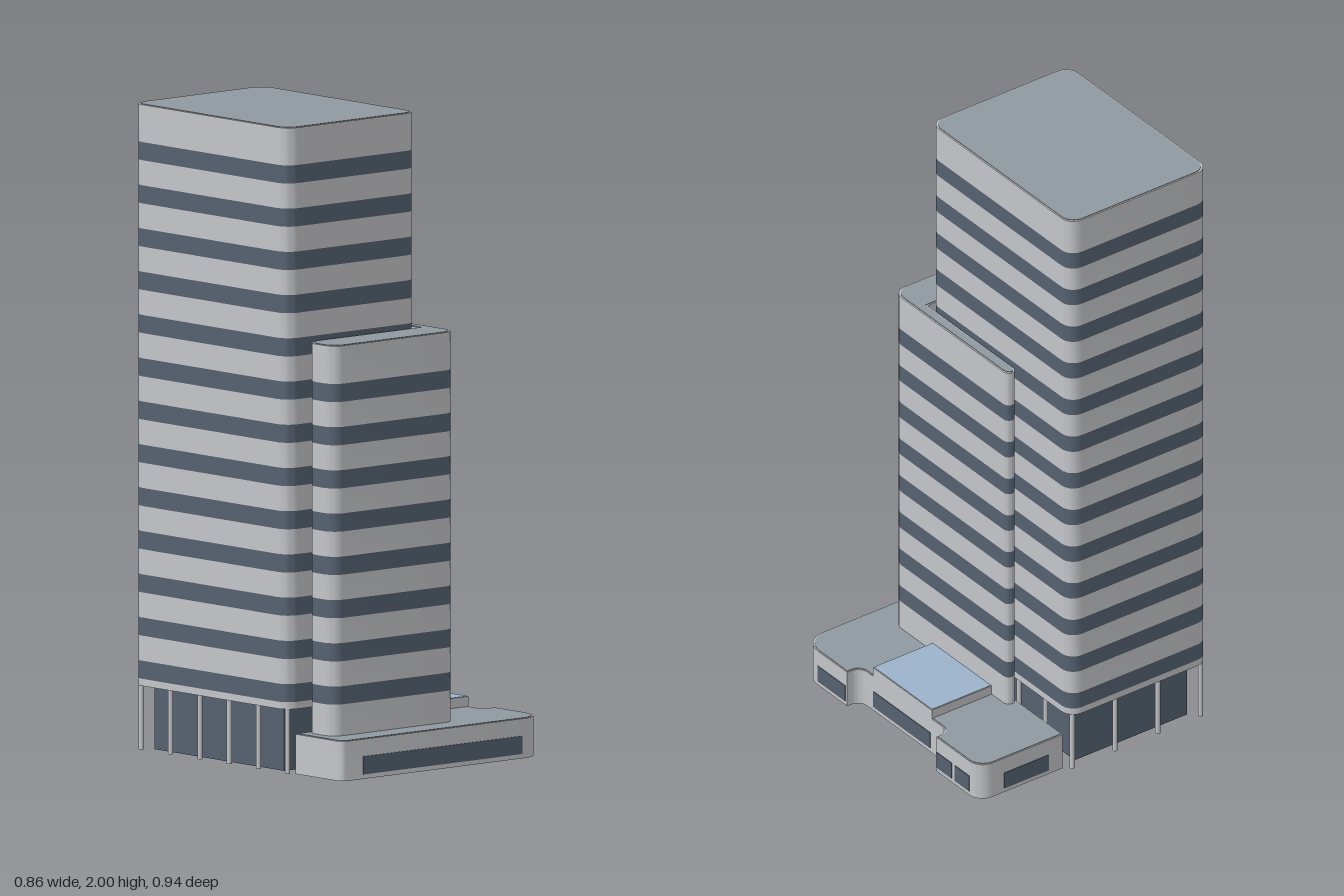
import * as THREE from 'three';
import { toCreasedNormals } from 'three/addons/utils/BufferGeometryUtils.js';

const mat = (name, color) => {
  const m = new THREE.MeshStandardMaterial({ color, side: THREE.DoubleSide });
  m.name = name;
  return m;
};

// Plans are counter-clockwise lists of [x, depth, cornerRadius], with depth = -z
const TOWER = [[-0.428, -0.248, 0.045], [0.103, -0.248, 0.045], [0.103, 0.468, 0.045], [-0.428, 0.468, 0.045]];
const WING = [[-0.355, -0.38, 0.045], [0.146, -0.38, 0.045], [0.146, 0.205, 0.02],
  [0.108, 0.205, 0.02], [0.108, -0.253, 0], [-0.355, -0.253, 0.045]];
const PODIUM = [[-0.395, -0.466, 0.025], [0.425, -0.466, 0.075], [0.425, -0.24, 0], [0.375, -0.24, 0.035],
  [0.375, 0.213, 0.038], [0.425, 0.213, 0], [0.425, 0.434, 0.05], [0.107, 0.434, 0], [0.107, -0.25, 0], [-0.395, -0.25, 0]];

// Move every edge of a right-angled plan inwards by d
function inset(plan, d) {
  const n = plan.length;
  return plan.map(([x, y, r], i) => {
    const a = plan[(i + n - 1) % n], b = plan[(i + 1) % n];
    const dx = Math.sign(Math.round((x - a[0]) * 1e4)) || Math.sign(Math.round((b[0] - x) * 1e4));
    const dy = Math.sign(Math.round((y - a[1]) * 1e4)) || Math.sign(Math.round((b[1] - y) * 1e4));
    return [x - dy * d, y + dx * d, r];
  });
}

// Outline with rounded corners
function outline(plan) {
  const s = new THREE.Shape();
  const n = plan.length;
  plan.forEach(([x, y, r], i) => {
    const p = new THREE.Vector2(x, y);
    const toward = (q) => new THREE.Vector2(q[0], q[1]).sub(p).setLength(r).add(p);
    const a = r ? toward(plan[(i + n - 1) % n]) : p;
    if (i === 0) s.moveTo(a.x, a.y); else s.lineTo(a.x, a.y);
    if (r) {
      const b = toward(plan[(i + 1) % n]);
      const k = 0.5523;
      const c1 = a.clone().lerp(p, k), c2 = b.clone().lerp(p, k);
      s.bezierCurveTo(c1.x, c1.y, c2.x, c2.y, b.x, b.y);
    }
  });
  s.closePath();
  return s;
}

// Upright prism between two heights
function prism(plan, y0, y1) {
  const g = new THREE.ExtrudeGeometry(outline(plan), { depth: y1 - y0, bevelEnabled: false, curveSegments: 8 });
  g.rotateX(-Math.PI / 2).translate(0, y0, 0);
  return toCreasedNormals(g, 0.5);
}

// Only the side walls of a prism, open above and below
function walls(plan, y0, y1) {
  const g = prism(plan, y0, y1);
  const { start, count } = g.groups[1];
  const out = new THREE.BufferGeometry();
  for (const key of ['position', 'normal']) {
    out.setAttribute(key, new THREE.BufferAttribute(g.attributes[key].array.slice(start * 3, (start + count) * 3), 3));
  }
  return out;
}

export function createModel() {
  const wall = mat('pale concrete', 0xc4c5c9);
  const glass = mat('dark glass', 0x556170);
  const roof = mat('grey roof', 0x8f999f);
  const sky = mat('blue skylight', 0x9ab3ca);

  const model = new THREE.Group();
  model.name = 'officeTower';
  const group = (name) => {
    const g = new THREE.Group();
    g.name = name;
    model.add(g);
    return g;
  };
  const add = (parent, name, geo, material) => {
    const m = new THREE.Mesh(geo, material);
    m.name = name;
    parent.add(m);
    return m;
  };
  const box = (parent, name, material, x0, x1, y0, y1, z0, z1) =>
    add(parent, name, new THREE.BoxGeometry(x1 - x0, y1 - y0, z1 - z0), material)
      .position.set((x0 + x1) / 2, (y0 + y1) / 2, (z0 + z1) / 2);

  // Banded blocks: alternating concrete and window rings, capped by a rimmed roof
  const STEP = 0.1337, BAND = 0.056;
  function bandedBlock(name, plan, y0, y1, bands) {
    const g = group(name);
    let y = y0;
    for (let i = 0; i < bands; i++) {
      const mid = 0.25 + i * STEP;
      add(g, 'concreteBand', walls(plan, y, mid - BAND / 2), wall);
      add(g, 'windowBand', walls(plan, mid - BAND / 2, mid + BAND / 2), glass);
      y = mid + BAND / 2;
    }
    add(g, 'topBand', prism(plan, y, y1 - 0.002), wall);
    add(g, 'roof', prism(inset(plan, 0.005), y1 - 0.002, y1), roof);
    add(g, 'underside', prism(plan, y0, y0 + 0.004), wall);
  }
  bandedBlock('mainTower', TOWER, 0.2, 2, 13);
  bandedBlock('lowerWing', WING, 0.125, 1.333, 8);

  // Podium: open underneath
  const podium = group('podium');
  add(podium, 'podiumWalls', walls(PODIUM, 0, 0.119), wall);
  add(podium, 'podiumSlab', prism(PODIUM, 0.119, 0.123), wall);
  add(podium, 'podiumRoof', prism(inset(PODIUM, 0.004), 0.123, 0.125), roof);

  // Podium windows
  const W0 = 0.014, W1 = 0.07, T = 0.002;
  box(podium, 'frontWindow', glass, -0.31, 0.337, W0, W1, 0.466 - T, 0.466 + T);
  box(podium, 'backWindow', glass, 0.16, 0.33, W0, W1, -0.434 - T, -0.434 + T);
  for (const [x, z0, z1] of [[0.425, 0.25, 0.39], [0.375, -0.118, 0.172], [0.425, -0.295, -0.217], [0.425, -0.384, -0.31]]) {
    box(podium, 'sideWindow', glass, x - T, x + T, W0, W1, z0, z1);
  }

  // Skylight on the podium roof
  box(podium, 'skylightBase', wall, 0.146, 0.375, 0.12, 0.155, -0.125, 0.176);
  box(podium, 'skylight', sky, 0.148, 0.373, 0.155, 0.157, -0.123, 0.174);

  // Recessed glass lobby: open underneath
  const lobby = group('lobby');
  add(lobby, 'lobbyGlass', walls([[-0.38, -0.18, 0], [0.05, -0.18, 0], [0.05, 0.42, 0], [-0.38, 0.42, 0]], 0, 0.2), glass);

  // Columns around the foot of the tower
  const columnGeo = new THREE.CylinderGeometry(0.008, 0.008, 0.2, 12);
  const xs = [-0.41, -0.247, -0.083, 0.08];
  const zs = [-0.448, -0.312, -0.176, -0.04, 0.096, 0.23];
  for (const x of xs) for (const z of zs) {
    const edge = x === xs[0] || x === xs[3] || z === zs[0] || z === zs[5];
    if (edge) add(lobby, 'column', columnGeo, wall).position.set(x, 0.1, z);
  }
  return model;
}
